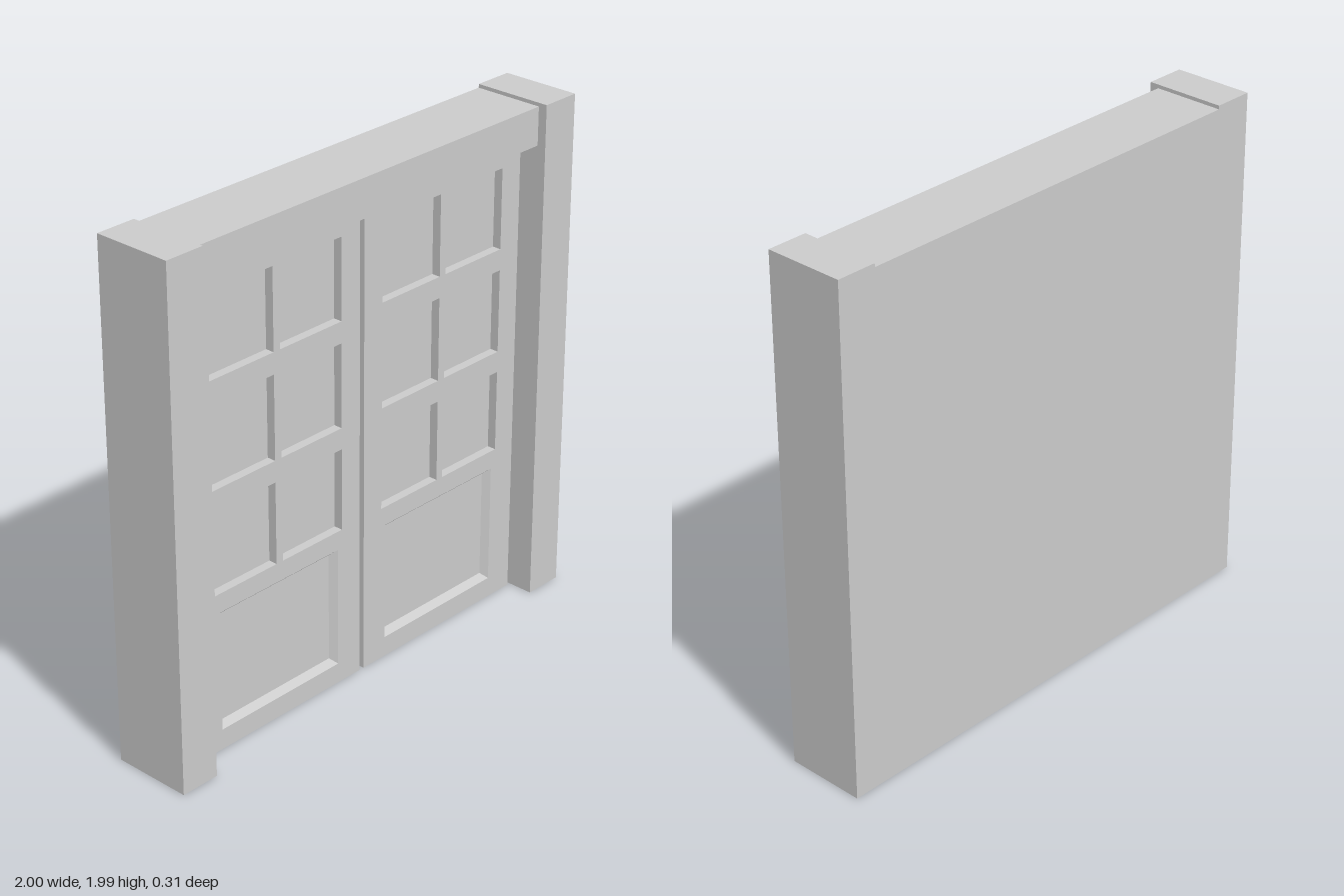
import * as THREE from 'three';

const material = new THREE.MeshStandardMaterial({ color: 0xcccccc, flatShading: true });

// Main dimensions
const BACK = -0.157, FRONT = 0.157, LINTEL_FRONT = 0.122;
const INNER_X = 0.842, LINTEL_BOTTOM = 1.826, LINTEL_TOP = 1.973, PILLAR_TOP = 1.987;
const DOOR_BACK = 0, DOOR_FRONT = 0.055, PANE_FRONT = 0.02, PANEL_FRONT = 0.03;

function addMesh(parent, name, geometry) {
  const mesh = new THREE.Mesh(geometry, material);
  mesh.name = name;
  parent.add(mesh);
  return mesh;
}

// Box given by its minimum and maximum on each axis
function addBox(parent, name, [x0, x1], [y0, y1], [z0, z1]) {
  const mesh = addMesh(parent, name, new THREE.BoxGeometry(x1 - x0, y1 - y0, z1 - z0));
  mesh.position.set((x0 + x1) / 2, (y0 + y1) / 2, (z0 + z1) / 2);
  return mesh;
}

// Corners of a rectangle, anticlockwise from the lower left
function corners([x0, x1], [y0, y1]) {
  return [[x0, y0], [x1, y0], [x1, y1], [x0, y1]];
}

function rectPath(PathClass, xs, ys) {
  return new PathClass(corners(xs, ys).map(([x, y]) => new THREE.Vector2(x, y)));
}

// Four sloping faces running from an outer rectangle in front to an inner one behind
function bevelGeometry(xs, ys, inset, zFront, zBack) {
  const outer = corners(xs, ys).map(([x, y]) => [x, y, zFront]);
  const inner = corners([xs[0] + inset, xs[1] - inset], [ys[0] + inset, ys[1] - inset])
    .map(([x, y]) => [x, y, zBack]);
  const points = [];
  for (let i = 0; i < 4; i++) {
    const j = (i + 1) % 4;
    points.push(outer[i], outer[j], inner[j], outer[i], inner[j], inner[i]);
  }
  const geometry = new THREE.BufferGeometry();
  geometry.setAttribute('position', new THREE.Float32BufferAttribute(points.flat(), 3));
  geometry.computeVertexNormals();
  return geometry;
}

// One door leaf; side is +1 for the left leaf and -1 for the right
function createDoor(side) {
  const door = new THREE.Group();
  door.name = side > 0 ? 'leftDoor' : 'rightDoor';
  const span = (a, b) => (side > 0 ? [a, b] : [-b, -a]);

  const columns = [span(0.103, 0.402), span(0.433, 0.732)];
  const rows = [[0.628, 0.949], [1.032, 1.358], [1.441, 1.754]];
  const panelX = span(0.124, 0.711), panelY = [0.08, 0.554];

  // Door frame pierced by six windows and a lower panel
  const shape = rectPath(THREE.Shape, span(0.011, 0.829), [0, 1.818]);
  shape.holes.push(rectPath(THREE.Path, panelX, panelY));
  for (const xs of columns) {
    for (const ys of rows) {
      shape.holes.push(rectPath(THREE.Path, xs, ys));
      addBox(door, 'windowPane', xs, ys, [DOOR_BACK, PANE_FRONT]);
    }
  }
  const frame = addMesh(door, 'doorFrame', new THREE.ExtrudeGeometry(shape, {
    depth: DOOR_FRONT - DOOR_BACK, bevelEnabled: false,
  }));
  frame.position.z = DOOR_BACK;

  // Sunken lower panel with a sloping moulding around it
  addBox(door, 'lowerPanel', panelX, panelY, [DOOR_BACK, PANEL_FRONT]);
  addMesh(door, 'panelMoulding', bevelGeometry(panelX, panelY, 0.022, DOOR_FRONT, PANEL_FRONT));
  return door;
}

export function createModel() {
  const model = new THREE.Group();
  model.name = 'doubleDoor';

  // Surround: pillars, lintel and closed back wall
  addBox(model, 'leftPillar', [INNER_X, 1], [0, PILLAR_TOP], [BACK, FRONT]);
  addBox(model, 'rightPillar', [-1, -INNER_X], [0, PILLAR_TOP], [BACK, FRONT]);
  addBox(model, 'lintel', [-INNER_X, INNER_X], [LINTEL_BOTTOM, LINTEL_TOP], [BACK, LINTEL_FRONT]);
  addBox(model, 'backWall', [-INNER_X, INNER_X], [0, LINTEL_BOTTOM], [BACK, -0.08]);

  // Pair of door leaves
  for (const side of [1, -1]) model.add(createDoor(side));
  return model;
}
